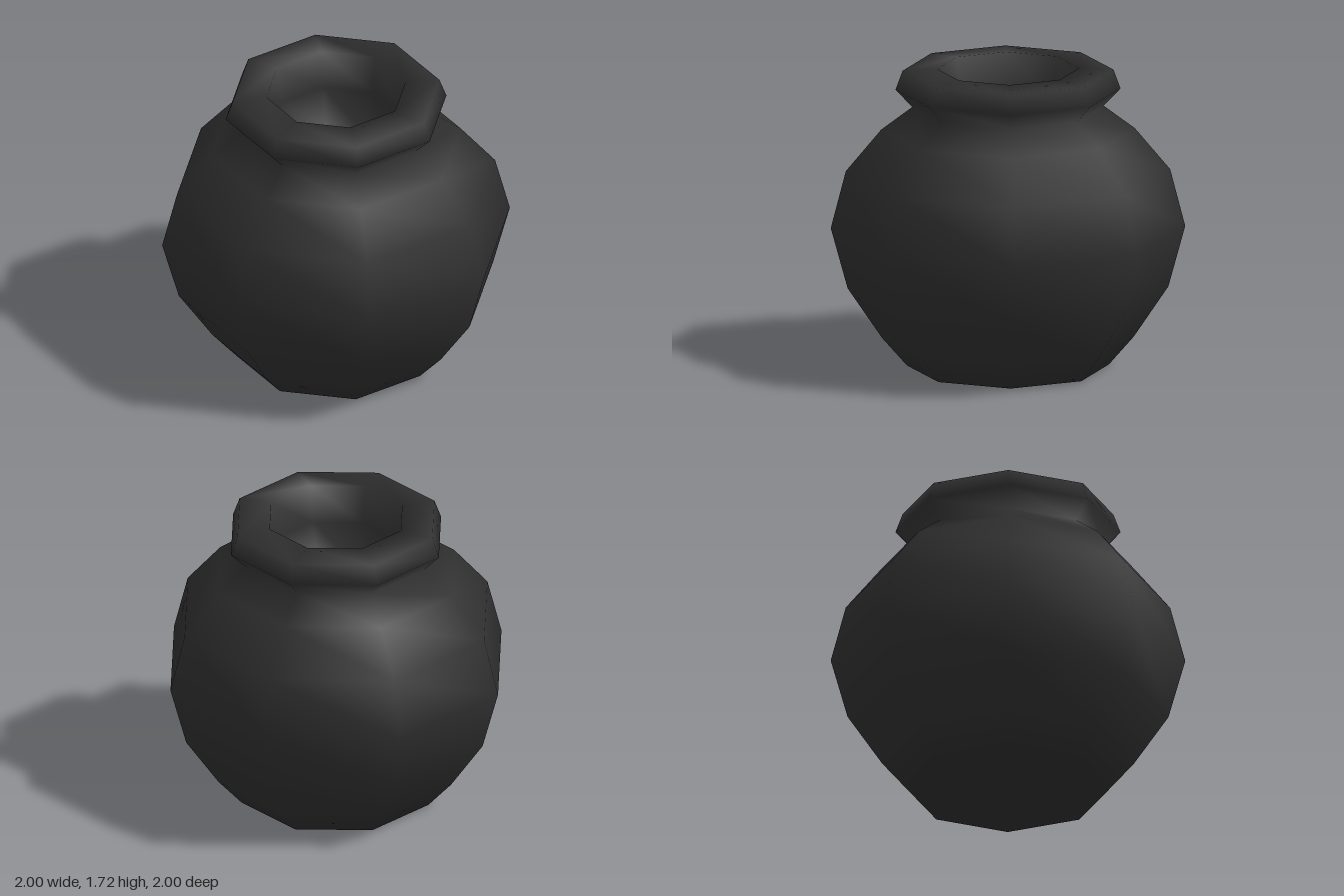
import * as THREE from 'three';

const SIDES = 8;

// Revolves a profile of [radius, height] pairs into a smooth eight-sided surface
function revolve(name, profile, material) {
  const points = profile.map(([r, y]) => new THREE.Vector2(r, y));
  const mesh = new THREE.Mesh(new THREE.LatheGeometry(points, SIDES), material);
  mesh.name = name;
  return mesh;
}

export function createModel() {
  const group = new THREE.Group();
  group.name = 'pot';

  const iron = new THREE.MeshStandardMaterial({ color: 0x2e2e2e });
  iron.name = 'dark iron';

  // One continuous skin keeps the shading smooth from base to bowl
  const profile = [
    // base and belly
    [0, 0], [0.57, 0], [0.71, 0.16], [0.905, 0.45], [1, 0.8], [0.915, 1.13], [0.715, 1.37],
    // neck and flared rim
    [0.54, 1.5], [0.635, 1.6], [0.595, 1.71], [0.4, 1.72],
    // inner wall and rounded hollow
    [0.37, 1.5], [0.28, 1.28], [0, 1.18],
  ];
  group.add(revolve('potBody', profile, iron));

  return group;
}
